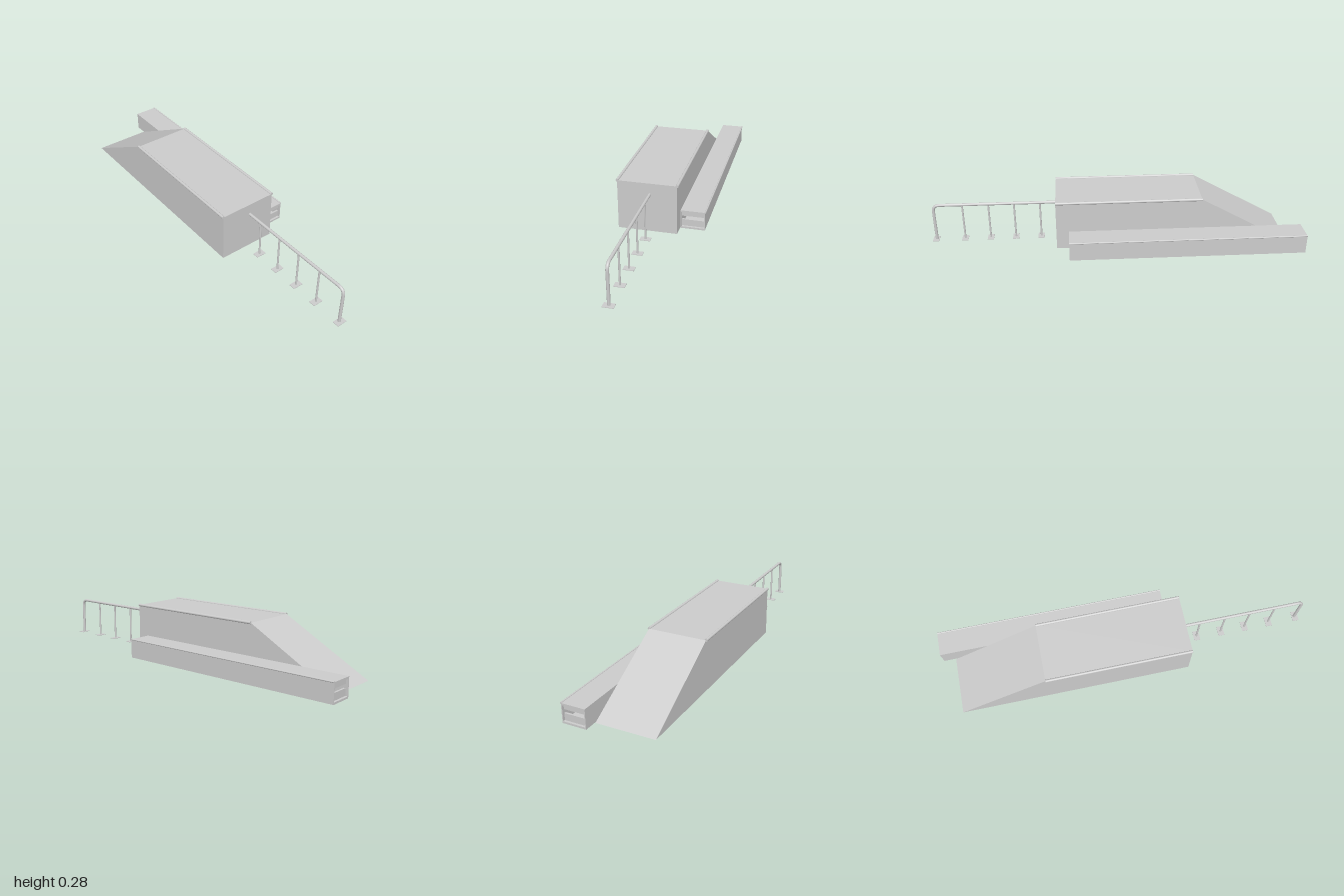
import * as THREE from 'three';

const material = new THREE.MeshStandardMaterial({ color: 0xcccccc });

export function createModel() {
  const group = new THREE.Group();

  const add = (name, geometry, x = 0, y = 0, z = 0) => {
    const mesh = new THREE.Mesh(geometry, material);
    mesh.name = name;
    mesh.position.set(x, y, z);
    group.add(mesh);
    return mesh;
  };

  const box = (name, x0, x1, y0, y1, z0, z1) =>
    add(name, new THREE.BoxGeometry(x1 - x0, y1 - y0, z1 - z0),
      (x0 + x1) / 2, (y0 + y1) / 2, (z0 + z1) / 2);

  // Round bar lying along x
  const bar = (name, x0, x1, y, z, r) =>
    add(name, new THREE.CylinderGeometry(r, r, x1 - x0, 16).rotateZ(Math.PI / 2), (x0 + x1) / 2, y, z);

  // Wedge-ended platform
  const profile = new THREE.Shape([
    new THREE.Vector2(-0.935, 0), new THREE.Vector2(0.32, 0),
    new THREE.Vector2(0.32, 0.268), new THREE.Vector2(-0.455, 0.268),
  ]);
  add('ramp', new THREE.ExtrudeGeometry(profile, { depth: 0.31, bevelEnabled: false }), 0, 0, -0.09);
  for (const z of [-0.09, 0.22]) bar('rampCoping', -0.455, 0.32, 0.268, z, 0.0075);

  // Hollow ledge behind the ramp, with slotted panels set into its ends
  const x0 = -1, x1 = 0.253, zFront = -0.093, zBack = -0.22, top = 0.102;
  const zIn = zFront - 0.005, zOut = zBack + 0.005;
  const section = new THREE.Shape([
    new THREE.Vector2(-zFront, 0), new THREE.Vector2(-zBack, 0),
    new THREE.Vector2(-zBack, top), new THREE.Vector2(-zFront, top),
  ]);
  section.holes.push(new THREE.Path([
    new THREE.Vector2(-zIn, 0.01), new THREE.Vector2(-zIn, 0.092),
    new THREE.Vector2(-zOut, 0.092), new THREE.Vector2(-zOut, 0.01),
  ]));
  const shell = new THREE.ExtrudeGeometry(section, { depth: x1 - x0, bevelEnabled: false });
  add('ledgeShell', shell.rotateY(Math.PI / 2), x0);
  for (const x of [x0 + 0.012, x1 - 0.022]) {
    box('ledgeLowerPanel', x, x + 0.01, 0.01, 0.046, zOut, zIn);
    box('ledgeUpperPanel', x, x + 0.01, 0.066, 0.092, zOut, zIn);
  }
  bar('ledgeCoping', x0, x1, top, -0.221, 0.004);

  // Handrail with a rounded bend down to the ground
  const railZ = 0.052, railY = 0.207, endX = 0.98, bend = 0.035;
  const v = (x, y) => new THREE.Vector3(x, y, railZ);
  const arc = new THREE.QuadraticBezierCurve3(v(endX - bend, railY), v(endX, railY), v(endX, railY - bend));
  bar('railBar', 0.32, endX - bend, railY, railZ, 0.008);
  add('railBend', new THREE.TubeGeometry(arc, 12, 0.008, 16));
  add('railEndLeg', new THREE.CylinderGeometry(0.008, 0.008, railY - bend, 16), endX, (railY - bend) / 2, railZ);

  // Thin posts and ground plates
  const posts = [0.407, 0.547, 0.685, 0.825];
  for (const x of posts) {
    add('railPost', new THREE.CylinderGeometry(0.005, 0.005, railY, 12), x, railY / 2, railZ);
  }
  for (const x of [...posts, 0.983]) {
    box('footPlate', x - 0.017, x + 0.017, 0, 0.003, railZ - 0.027, railZ + 0.027);
  }

  return group;
}
